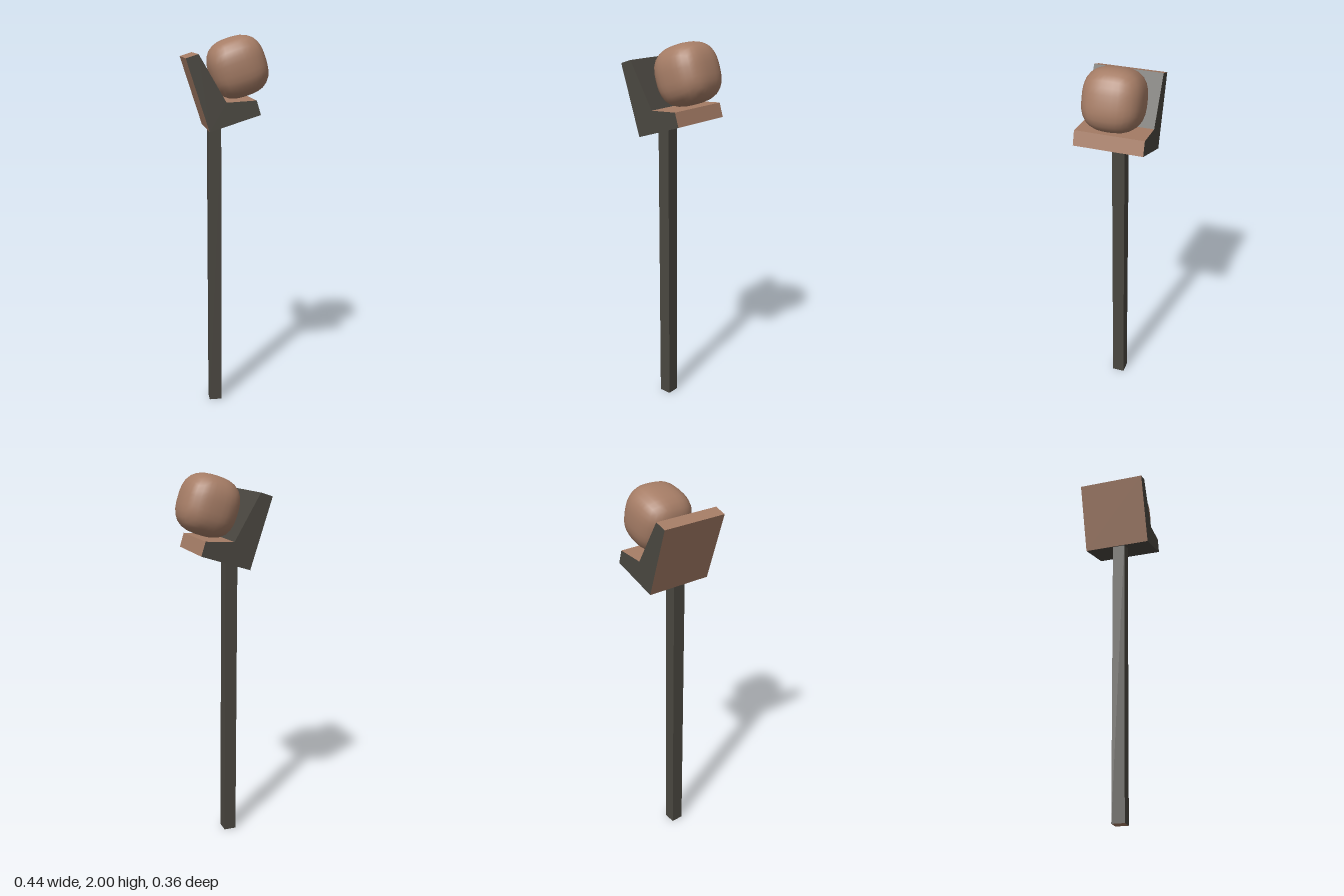
import * as THREE from 'three';
import { mergeVertices } from 'three/addons/utils/BufferGeometryUtils.js';

const grey = new THREE.MeshStandardMaterial({ color: 0x4a4740 });
grey.name = 'dark grey';
const brown = new THREE.MeshStandardMaterial({ color: 0xa67d66 });
brown.name = 'warm brown';

function addMesh(group, name, geometry, material) {
  const mesh = new THREE.Mesh(geometry, material);
  mesh.name = name;
  group.add(mesh);
  return mesh;
}

// Square post with a brown foot face
function postGeometry() {
  const g = new THREE.BoxGeometry(0.067, 1.56, 0.067);
  return g.translate(-0.062, 0.78, 0.008);
}

// Tilted L-shaped cradle: grey ends and flanks, brown broad faces
function cradleGeometry() {
  const profile = [
    [-0.105, 1.53], [0.153, 1.612], [0.131, 1.684],
    [-0.02, 1.675], [-0.157, 1.91], [-0.22, 1.89],
  ].map(([x, y]) => new THREE.Vector2(x, y));
  const g = new THREE.ExtrudeGeometry(new THREE.Shape(profile), { depth: 0.357, bevelEnabled: false });
  const [caps, sides] = g.groups;
  g.clearGroups();
  g.addGroup(caps.start, caps.count, 0);
  // walls run from the top edge, down the inside, round the tip and underneath
  [0, 1, 1, 0, 1, 1].forEach((m, i) => g.addGroup(sides.start + i * 6, 6, m));
  return g.translate(0, 0, -0.179);
}

// Cube puffed out to a soft, smooth block
function boulderGeometry() {
  const box = new THREE.BoxGeometry(2, 2, 2, 8, 8, 8);
  box.deleteAttribute('normal');
  box.deleteAttribute('uv');
  const g = mergeVertices(box);
  const p = g.attributes.position;
  const power = 2.75;
  const v = new THREE.Vector3();
  for (let i = 0; i < p.count; i++) {
    v.fromBufferAttribute(p, i);
    // even out the angular spacing before projecting
    v.set(...v.toArray().map((c) => Math.tan((c * Math.PI) / 4)));
    const sum = v.toArray().reduce((s, c) => s + Math.abs(c) ** power, 0);
    v.multiplyScalar(sum ** (-1 / power));
    p.setXYZ(i, v.x, v.y, v.z);
  }
  g.clearGroups();
  g.scale(0.149, 0.153, 0.148);
  g.computeVertexNormals();
  return g;
}

export function createModel() {
  const model = new THREE.Group();
  model.name = 'cradleOnPost';
  addMesh(model, 'post', postGeometry(), [grey, grey, grey, brown, grey, grey]);
  addMesh(model, 'cradle', cradleGeometry(), [grey, brown]);
  const boulder = addMesh(model, 'boulder', boulderGeometry(), brown);
  boulder.position.set(0.061, 1.84, -0.006);
  boulder.rotation.z = THREE.MathUtils.degToRad(18);
  return model;
}
